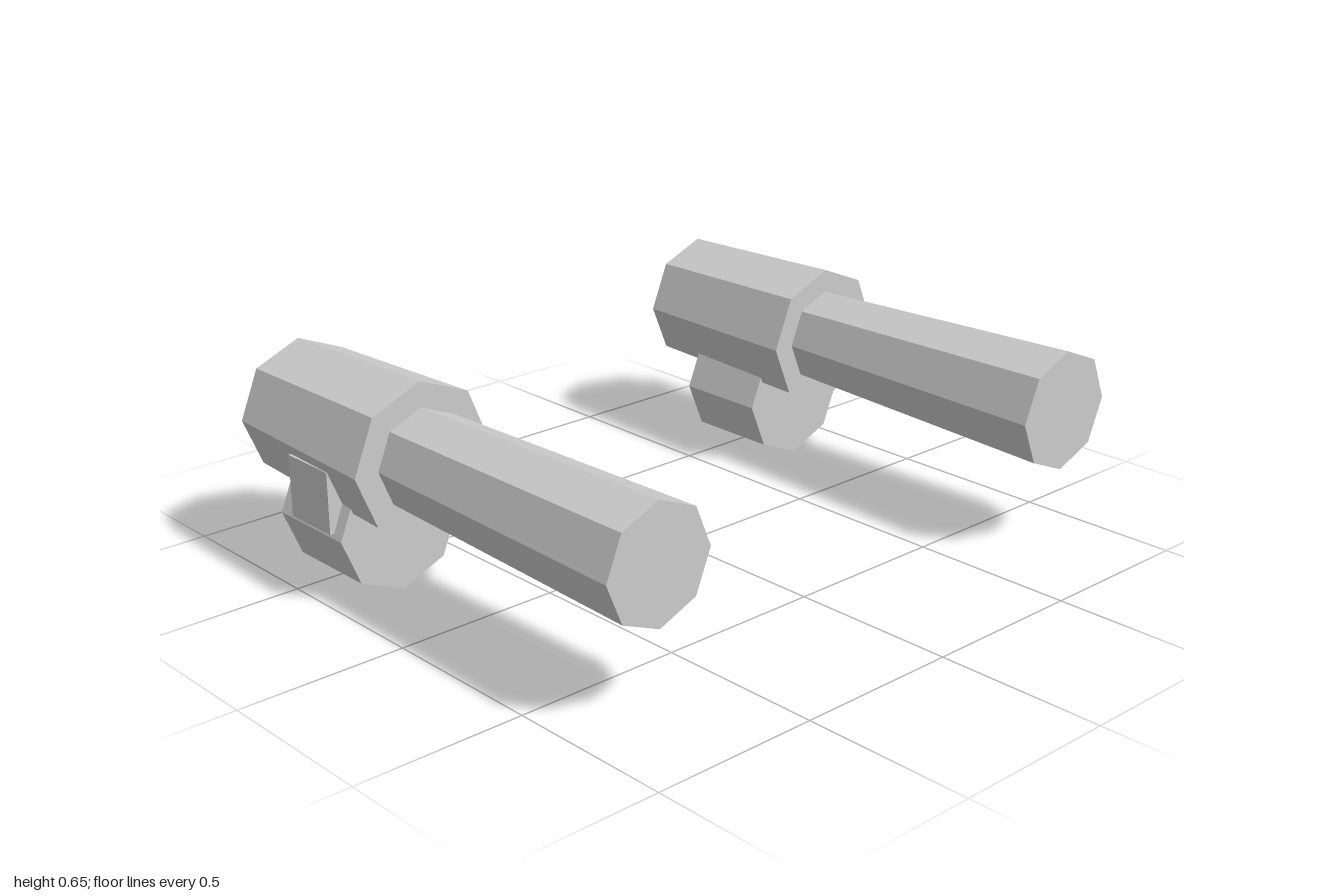
import * as THREE from 'three';

const material = new THREE.MeshStandardMaterial({ color: 0xcccccc, flatShading: true });

// Eight-sided tapered cylinder lying along z, with a corner pointing up
function octagon(name, rFront, rBack, zFront, zBack, y) {
  const geometry = new THREE.CylinderGeometry(rFront, rBack, zFront - zBack, 8);
  geometry.rotateX(Math.PI / 2);
  const mesh = new THREE.Mesh(geometry, material);
  mesh.name = name;
  mesh.position.set(0, y, (zFront + zBack) / 2);
  return mesh;
}

// One barrel unit; side is +1 for left (+x), -1 for right
function barrelUnit(side, housingRadius, muzzleRadius, bracketX) {
  const unit = new THREE.Group();
  unit.name = side > 0 ? 'leftUnit' : 'rightUnit';
  unit.position.x = side > 0 ? 0.782 : -0.779;

  unit.add(octagon('barrel', muzzleRadius, 0.146, 0.763, -0.2, 0.425));
  unit.add(octagon('housing', housingRadius, 0.201, -0.178, -0.763, 0.425));
  unit.add(octagon('drum', 0.197, 0.197, -0.3, -0.592, 0.198));

  // Square bracket on the outer side, joining housing and drum
  const bracket = new THREE.Mesh(new THREE.BoxGeometry(0.18, 0.182, 0.184), material);
  bracket.name = 'sideBracket';
  bracket.position.set(side * bracketX, 0.301, -0.432);
  unit.add(bracket);
  return unit;
}

export function createModel() {
  const model = new THREE.Group();
  model.name = 'twinBarrels';
  model.add(barrelUnit(1, 0.217, 0.179, 0.118), barrelUnit(-1, 0.221, 0.168, 0.114));
  return model;
}
